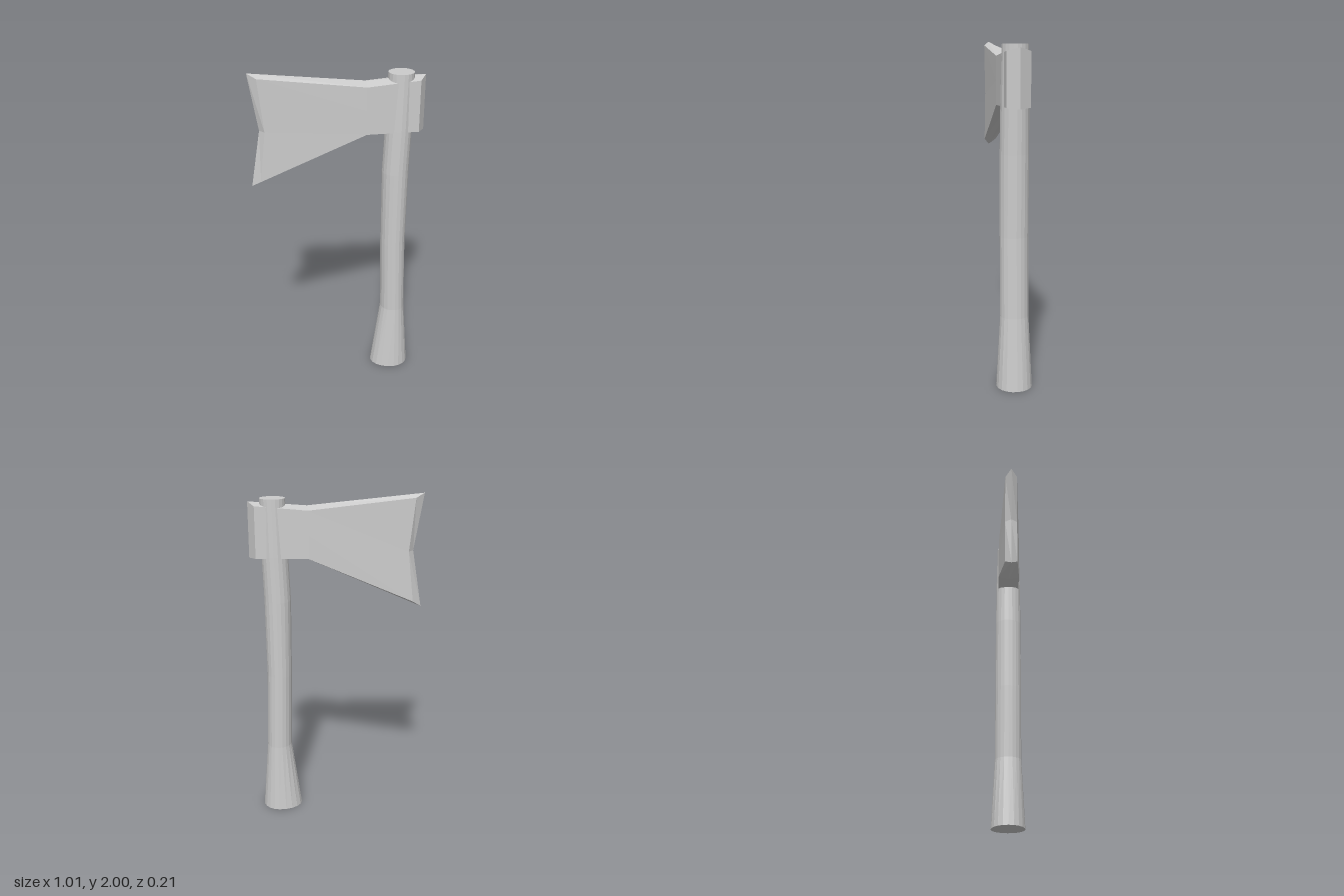
import * as THREE from 'three';

// Skins a list of equal-length rings of Vector3; collapsed corners are dropped.
function loft(name, rings) {
  const pos = [];
  const tri = (a, b, c) => {
    const n = b.clone().sub(a).cross(c.clone().sub(a));
    if (n.length() > 1e-7) for (const p of [a, b, c]) pos.push(p.x, p.y, p.z);
  };
  for (let i = 0; i < rings.length - 1; i++) {
    const lo = rings[i], hi = rings[i + 1], n = lo.length;
    for (let j = 0; j < n; j++) {
      const k = (j + 1) % n;
      tri(lo[j], lo[k], hi[k]);
      tri(lo[j], hi[k], hi[j]);
    }
  }
  const geo = new THREE.BufferGeometry();
  geo.setAttribute('position', new THREE.Float32BufferAttribute(pos, 3));
  geo.computeVertexNormals();
  const mat = new THREE.MeshStandardMaterial({ color: 0xcccccc, flatShading: true });
  const mesh = new THREE.Mesh(geo, mat);
  mesh.name = name;
  return mesh;
}

// Egg-shaped handle section: widest at xc, reaching x0 and x1 at the sides.
function handleRing(y, x0, xc, x1, rz, scale = 1) {
  const sides = 20, ring = [];
  for (let j = 0; j < sides; j++) {
    const a = (j / sides) * Math.PI * 2;
    const s = Math.sin(a), reach = s > 0 ? x1 - xc : xc - x0;
    ring.push(new THREE.Vector3(xc + s * reach * scale, y, Math.cos(a) * rz * scale));
  }
  return ring;
}

// Head section: ridge points on the centre plane, side points at +-z.
// ridge = [top, bottom], side = [top, middle, bottom], each an [x, y] pair.
function headRing(ridge, side, z) {
  const at = ([x, y], d) => new THREE.Vector3(x, y, d);
  const [t, m, b] = side;
  return [at(ridge[0], 0), at(t, -z), at(m, -z), at(b, -z),
    at(ridge[1], 0), at(b, z), at(m, z), at(t, z)];
}

export function createModel() {
  const model = new THREE.Group();
  model.name = 'axe';

  // Curved handle with a flared foot, closed at both ends
  const profile = [
    [0, 0.222, 0.36, 0.466, 0.105],
    [0.43, 0.28, 0.36, 0.432, 0.083],
    [0.9, 0.27, 0.346, 0.42, 0.083],
    [1.37, 0.266, 0.346, 0.425, 0.083],
    [1.64, 0.277, 0.355, 0.433, 0.081],
    [1.97, 0.288, 0.363, 0.437, 0.075],
  ];
  const rings = profile.map((p) => handleRing(...p));
  rings.unshift(handleRing(...profile[0], 0));
  rings.push(handleRing(...profile[profile.length - 1], 0));
  model.add(loft('handle', rings));

  // Axe head from the pointed butt, past the neck, to the cutting edge
  const butt = [[0.505, 1.95], [0.505, 1.625]];
  const neck = [[0.165, 1.928], [0.165, 1.622]];
  const tip = [[-0.505, 2.0], [-0.505, 1.335]];
  model.add(loft('axeHead', [
    headRing(butt, [butt[0], [0.505, 1.79], butt[1]], 0),
    headRing(butt, [[0.46, 1.932], [0.46, 1.78], [0.46, 1.632]], 0.068),
    headRing(neck, [[0.155, 1.908], [0.155, 1.77], [0.155, 1.632]], 0.068),
    headRing(tip, [[-0.455, 1.976], [-0.422, 1.67], [-0.455, 1.372]], 0.036),
    headRing(tip, [tip[0], [-0.45, 1.67], tip[1]], 0),
  ]));

  return model;
}
